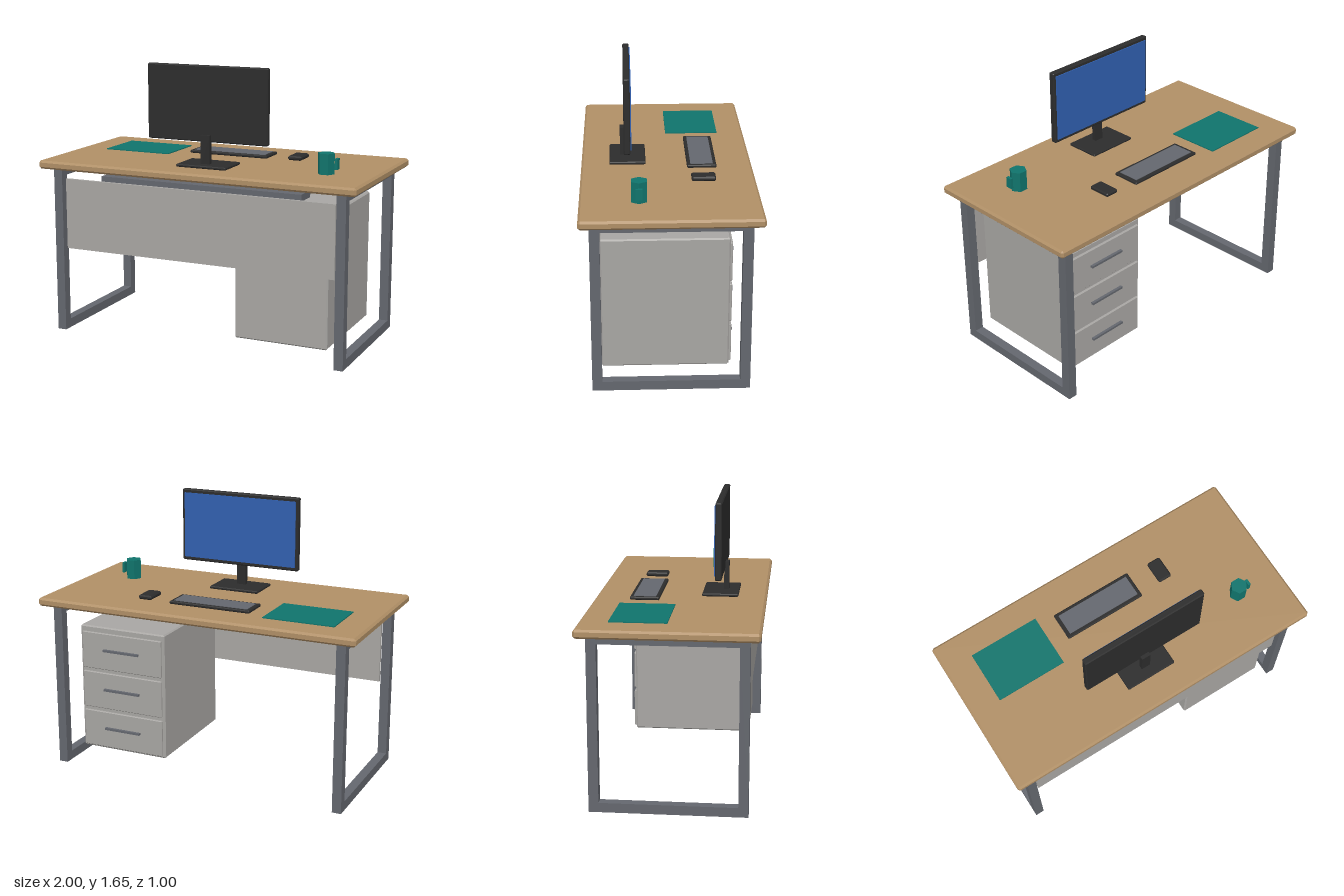
import * as THREE from 'three';
import { ConvexGeometry } from 'three/addons/geometries/ConvexGeometry.js';

function material(name, color) {
  const m = new THREE.MeshStandardMaterial({ color });
  m.name = name;
  return m;
}

// Box with all edges cut at 45 degrees by c
function chamferBox(w, h, d, c) {
  const pts = [];
  for (const x of [-1, 1]) for (const y of [-1, 1]) for (const z of [-1, 1]) {
    const X = w / 2, Y = h / 2, Z = d / 2;
    pts.push(
      new THREE.Vector3(x * X, y * (Y - c), z * (Z - c)),
      new THREE.Vector3(x * (X - c), y * Y, z * (Z - c)),
      new THREE.Vector3(x * (X - c), y * (Y - c), z * Z));
  }
  return new ConvexGeometry(pts);
}

export function createModel() {
  const model = new THREE.Group();
  model.name = 'desk';
  const wood = material('wood', 0xb08f66);
  const panel = material('grey panel', 0xa8a6a3);
  const steel = material('slate steel', 0x64676e);
  const black = material('black plastic', 0x2c2c2c);
  const teal = material('teal', 0x10746c);
  const blue = material('screen blue', 0x3160b0);

  // Adds a box given its min and max on each axis, optionally chamfered
  function box(parent, name, mat, [x0, x1], [y0, y1], [z0, z1], c = 0) {
    const w = x1 - x0, h = y1 - y0, d = z1 - z0;
    const geo = c ? chamferBox(w, h, d, c) : new THREE.BoxGeometry(w, h, d);
    const mesh = new THREE.Mesh(geo, mat);
    mesh.name = name;
    mesh.position.set((x0 + x1) / 2, (y0 + y1) / 2, (z0 + z1) / 2);
    parent.add(mesh);
    return mesh;
  }
  function group(name) {
    const g = new THREE.Group();
    g.name = name;
    model.add(g);
    return g;
  }

  box(model, 'tabletop', wood, [-1, 1], [1.01, 1.06], [-0.5, 0.5], 0.012);

  // Closed rectangular leg frames, one at each end
  for (const s of [-1, 1]) {
    const outline = new THREE.Shape();
    outline.moveTo(-0.443, 0).lineTo(0.443, 0).lineTo(0.443, 1.01).lineTo(-0.443, 1.01).closePath();
    const hole = new THREE.Path();
    hole.moveTo(-0.387, 0.055).lineTo(-0.387, 0.965).lineTo(0.387, 0.965).lineTo(0.387, 0.055).closePath();
    outline.holes.push(hole);
    const geo = new THREE.ExtrudeGeometry(outline, { depth: 0.055, bevelEnabled: false });
    geo.translate(0, 0, -0.0275).rotateY(Math.PI / 2);
    const frame = new THREE.Mesh(geo, steel);
    frame.name = s > 0 ? 'leftLegFrame' : 'rightLegFrame';
    frame.position.x = s * 0.9;
    model.add(frame);
  }

  box(model, 'modestyPanel', panel, [-0.86, 0.86], [0.515, 0.945], [0.4, 0.42]);
  box(model, 'cableTray', steel, [-0.64, 0.64], [0.93, 0.97], [0.232, 0.372]);

  // Drawer cabinet with three fronts and bar handles
  const cabinet = group('drawerCabinet');
  box(cabinet, 'cabinetBody', panel, [0.243, 0.812], [0.088, 0.872], [-0.33, 0.39], 0.008);
  for (let i = 0; i < 3; i++) {
    const y = 0.217 + i * 0.252;
    box(cabinet, 'drawerFront', panel, [0.26, 0.795], [y - 0.115, y + 0.115], [-0.343, -0.325], 0.004);
    box(cabinet, 'drawerHandle', steel, [0.408, 0.647], [y + 0.004, y + 0.017], [-0.36, -0.34]);
  }

  // Monitor
  const monitor = group('monitor');
  box(monitor, 'monitorBase', black, [-0.16, 0.157], [1.06, 1.077], [0.122, 0.335], 0.005);
  box(monitor, 'monitorNeck', black, [-0.029, 0.027], [1.07, 1.245], [0.243, 0.272]);
  box(monitor, 'monitorBody', black, [-0.384, 0.382], [1.203, 1.648], [0.212, 0.25], 0.006);
  box(monitor, 'screen', blue, [-0.367, 0.365], [1.225, 1.627], [0.206, 0.213]);

  // Keyboard, mouse and desk mat
  const keyboard = group('keyboard');
  box(keyboard, 'keyboardBody', black, [-0.288, 0.225], [1.06, 1.078], [-0.29, -0.118], 0.005);
  box(keyboard, 'keyField', steel, [-0.266, 0.204], [1.076, 1.081], [-0.27, -0.138]);
  box(model, 'mouse', black, [0.355, 0.441], [1.06, 1.086], [-0.272, -0.134], 0.008);
  box(model, 'deskMat', teal, [-0.82, -0.388], [1.06, 1.066], [-0.335, -0.012]);

  // Six-sided mug
  const mug = group('mug');
  const cup = new THREE.Mesh(new THREE.CylinderGeometry(0.05, 0.05, 0.12, 6), new THREE.MeshStandardMaterial());
  cup.geometry = cup.geometry.toNonIndexed();
  cup.geometry.computeVertexNormals();
  cup.material = teal;
  cup.name = 'mugBody';
  cup.rotation.y = Math.PI / 6;
  cup.position.set(0.711, 1.12, 0.17);
  mug.add(cup);
  box(mug, 'mugHandle', teal, [0.768, 0.784], [1.09, 1.153], [0.151, 0.189]);

  return model;
}
